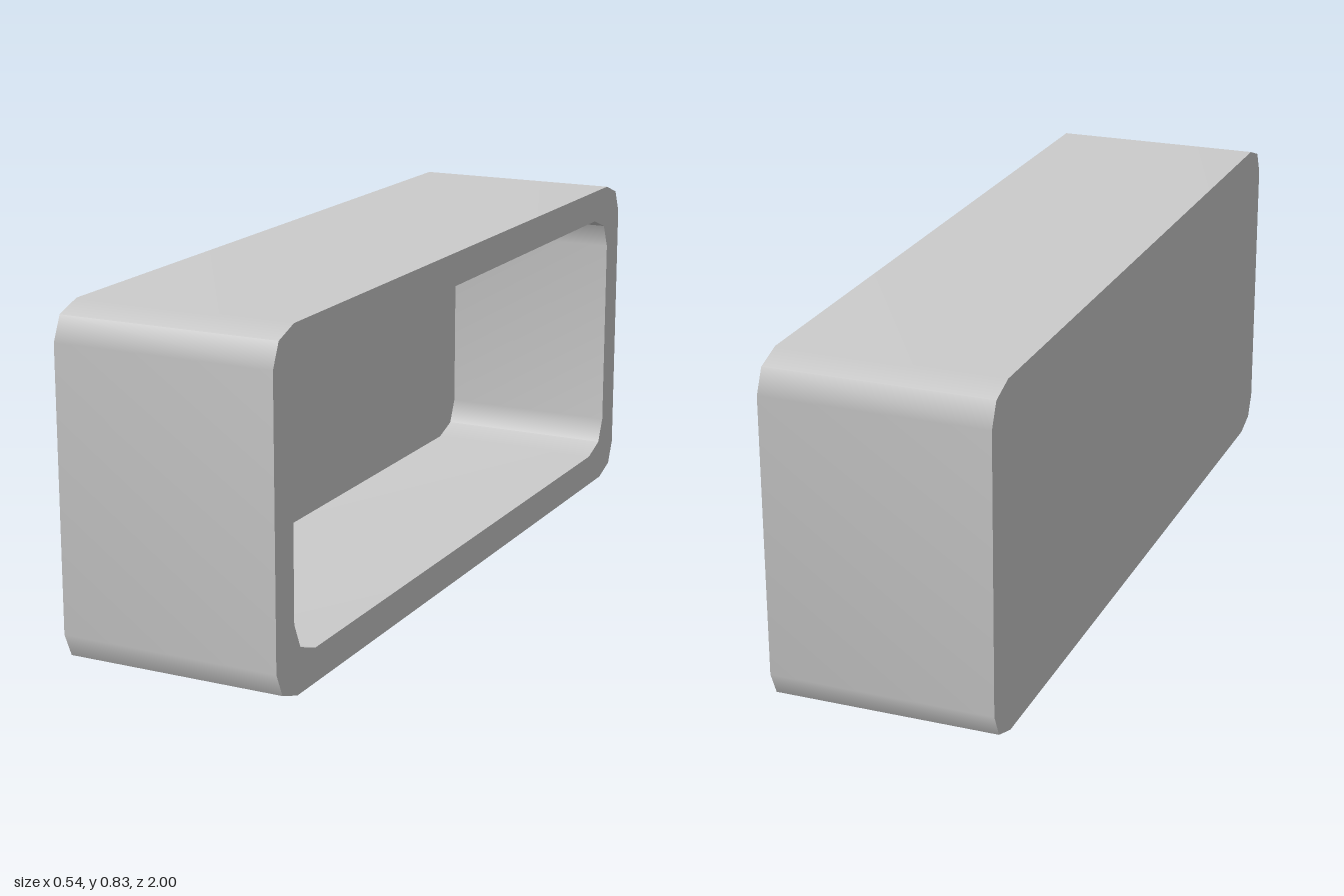
import * as THREE from 'three';
import { mergeGeometries } from 'three/addons/utils/BufferGeometryUtils.js';

const HALF_DEPTH = 0.27, FLOOR = -0.19, HEIGHT = 0.834;

// Rectangle with two-facet corners, counter-clockwise; corner midpoints at 1, 4, 7, 10
function ring(hw, hh, a, b) {
  const points = [];
  [[-1, -1], [1, -1], [1, 1], [-1, 1]].forEach(([sx, sy], i) => {
    const corner = [[hw, hh - b], [hw - a * 0.28, hh - b * 0.29], [hw - a, hh]];
    if (i % 2) corner.reverse();
    corner.forEach(([x, y]) => points.push(new THREE.Vector2(sx * x, sy * y)));
  });
  return points;
}

// Four smooth side strips that meet in a sharp edge at each corner midpoint
function wall(points, z0, z1, inward) {
  const strips = [];
  for (let side = 0; side < 4; side++) {
    const position = [], index = [];
    for (let k = 0; k < 4; k++) {
      const p = points[(side * 3 + 1 + k) % 12];
      position.push(p.x, p.y, z0, p.x, p.y, z1);
      if (k === 3) continue;
      const a = k * 2, b = a + 1, c = a + 2, d = a + 3;
      index.push(...(inward ? [a, d, c, a, b, d] : [a, c, d, a, d, b]));
    }
    const g = new THREE.BufferGeometry();
    g.setAttribute('position', new THREE.Float32BufferAttribute(position, 3));
    g.setIndex(index);
    g.computeVertexNormals();
    strips.push(g);
  }
  return mergeGeometries(strips);
}

export function createModel() {
  const model = new THREE.Group();
  model.name = 'openBox';
  const material = new THREE.MeshStandardMaterial({ color: 0xcccccc });
  const add = (name, geometry) => {
    // Turn the opening to +x and stand the box on the ground
    geometry.rotateY(Math.PI / 2).translate(0, HEIGHT / 2, 0);
    const mesh = new THREE.Mesh(geometry, material);
    mesh.name = name;
    model.add(mesh);
  };

  const outer = ring(1, HEIGHT / 2, 0.093, 0.081);
  const inner = ring(0.918, 0.335, 0.097, 0.086);

  // Side walls, outside and inside
  add('outerWall', wall(outer, -HALF_DEPTH, HALF_DEPTH, false));
  add('innerWall', wall(inner, FLOOR, HALF_DEPTH, true));

  // Rim around the opening
  const rim = new THREE.Shape(outer);
  rim.holes.push(new THREE.Path(inner));
  add('rim', new THREE.ShapeGeometry(rim).translate(0, 0, HALF_DEPTH));

  // Closed panel, inside and outside
  add('innerPanel', new THREE.ShapeGeometry(new THREE.Shape(inner)).translate(0, 0, FLOOR));
  add('outerPanel', new THREE.ShapeGeometry(new THREE.Shape(outer)).rotateY(Math.PI).translate(0, 0, -HALF_DEPTH));

  return model;
}
